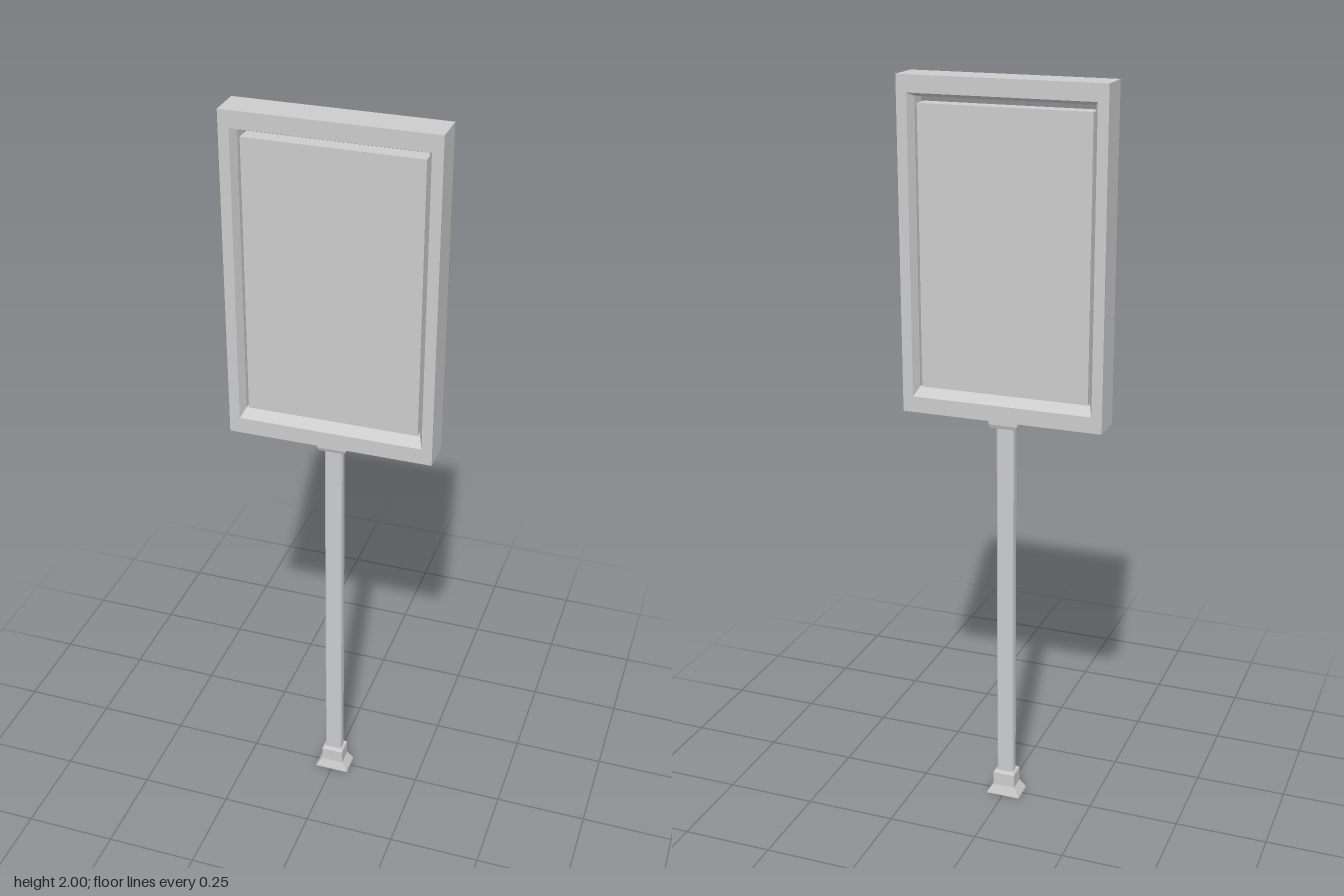
import * as THREE from 'three';

const material = new THREE.MeshStandardMaterial({ color: 0xcccccc, flatShading: true, side: THREE.DoubleSide });

function addMesh(group, name, geometry) {
  const mesh = new THREE.Mesh(geometry, material);
  mesh.name = name;
  group.add(mesh);
  return mesh;
}

// Joins equal-length loops of points with quads, optionally capping both ends
function loft(loops, capped, closed = false) {
  const n = loops[0].length;
  const index = [];
  const rows = closed ? loops.length : loops.length - 1;
  for (let r = 0; r < rows; r++) {
    const s = (r + 1) % loops.length;
    for (let i = 0; i < n; i++) {
      const j = (i + 1) % n;
      index.push(r * n + i, r * n + j, s * n + j, r * n + i, s * n + j, s * n + i);
    }
  }
  if (capped) {
    const top = (loops.length - 1) * n;
    for (let i = 1; i < n - 1; i++) index.push(0, i + 1, i, top, top + i, top + i + 1);
  }
  const geometry = new THREE.BufferGeometry();
  geometry.setAttribute('position', new THREE.Float32BufferAttribute(loops.flat(2), 3));
  geometry.setIndex(index);
  const flat = geometry.toNonIndexed();
  flat.computeVertexNormals();
  return flat;
}

// Horizontal rectangle with chamfered corners, counter-clockwise from above
function section(y, hx, hz, c) {
  return [
    [hx, y, hz - c], [hx, y, c - hz], [hx - c, y, -hz], [c - hx, y, -hz],
    [-hx, y, c - hz], [-hx, y, hz - c], [c - hx, y, hz], [hx - c, y, hz],
  ];
}

// Upright rectangle used for the frame profile
const upright = (hx, y0, y1, z) => [[-hx, y0, z], [hx, y0, z], [hx, y1, z], [-hx, y1, z]];

export function createModel() {
  const sign = new THREE.Group();
  sign.name = 'signPost';

  // Flared foot
  addMesh(sign, 'foot', loft([
    section(0, 0.048, 0.033, 0.001),
    section(0.005, 0.046, 0.032, 0.001),
    section(0.027, 0.031, 0.025, 0.001),
    section(0.066, 0.031, 0.025, 0.001),
    section(0.071, 0.027, 0.021, 0.001),
  ], true));

  // Post with narrow chamfers
  addMesh(sign, 'post', loft([
    section(0.06, 0.024, 0.014, 0.004),
    section(1.12, 0.024, 0.014, 0.004),
  ], true));

  // Collar under the frame
  addMesh(sign, 'collar', loft([
    section(1.105, 0.035, 0.026, 0.001),
    section(1.115, 0.04, 0.03, 0.001),
    section(1.132, 0.04, 0.03, 0.001),
  ], true));

  // Frame, open at the centre, with bevels toward the panel on both faces
  addMesh(sign, 'frame', loft([
    upright(0.273, 1.13, 2, -0.046),
    upright(0.273, 1.13, 2, 0.046),
    upright(0.245, 1.173, 1.956, 0.046),
    upright(0.234, 1.195, 1.946, 0.022),
    upright(0.234, 1.195, 1.946, -0.022),
    upright(0.245, 1.173, 1.956, -0.046),
  ], false, true));

  // Display panel standing on the lower bevel, with a slim gap at top and sides
  const panel = addMesh(sign, 'panel', new THREE.BoxGeometry(0.456, 0.738, 0.044));
  panel.position.y = 1.56;

  return sign;
}
